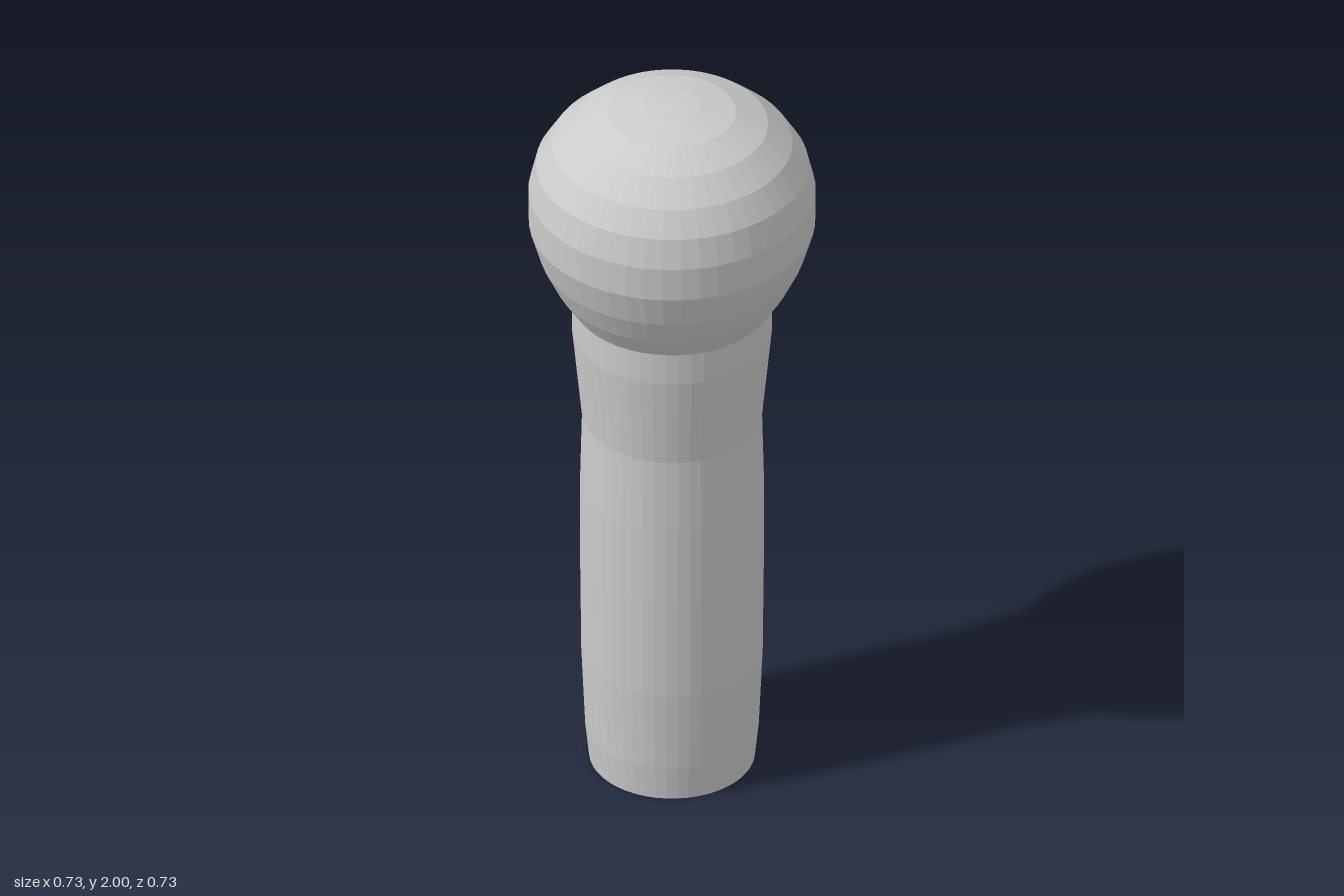
import * as THREE from 'three';

const SIDES = 48;

// Surface of revolution from [radius, height] pairs, listed bottom to top
function turned(name, profile, material) {
  const points = profile.map(([r, y]) => new THREE.Vector2(r, y));
  const mesh = new THREE.Mesh(new THREE.LatheGeometry(points, SIDES), material);
  mesh.name = name;
  return mesh;
}

export function createModel() {
  const model = new THREE.Group();
  model.name = 'roundHeadedPeg';
  const material = new THREE.MeshStandardMaterial({
    color: 0xcccccc, flatShading: true, side: THREE.DoubleSide,
  });

  // Hollow shaft, open at the bottom, flaring under the head
  model.add(turned('shaft', [
    [0.212, 0], [0.222, 0.1], [0.232, 0.33], [0.235, 0.62],
    [0.235, 0.84], [0.23, 1.05], [0.255, 1.31], [0.255, 1.4],
  ], material));

  // Bulbous head with a flattened crown
  model.add(turned('head', [
    [0.255, 1.4], [0.3, 1.47], [0.338, 1.55], [0.366, 1.645],
    [0.367, 1.74], [0.348, 1.82], [0.308, 1.885], [0.245, 1.942],
    [0.163, 1.98], [0.073, 1.997], [0, 2],
  ], material));

  return model;
}
